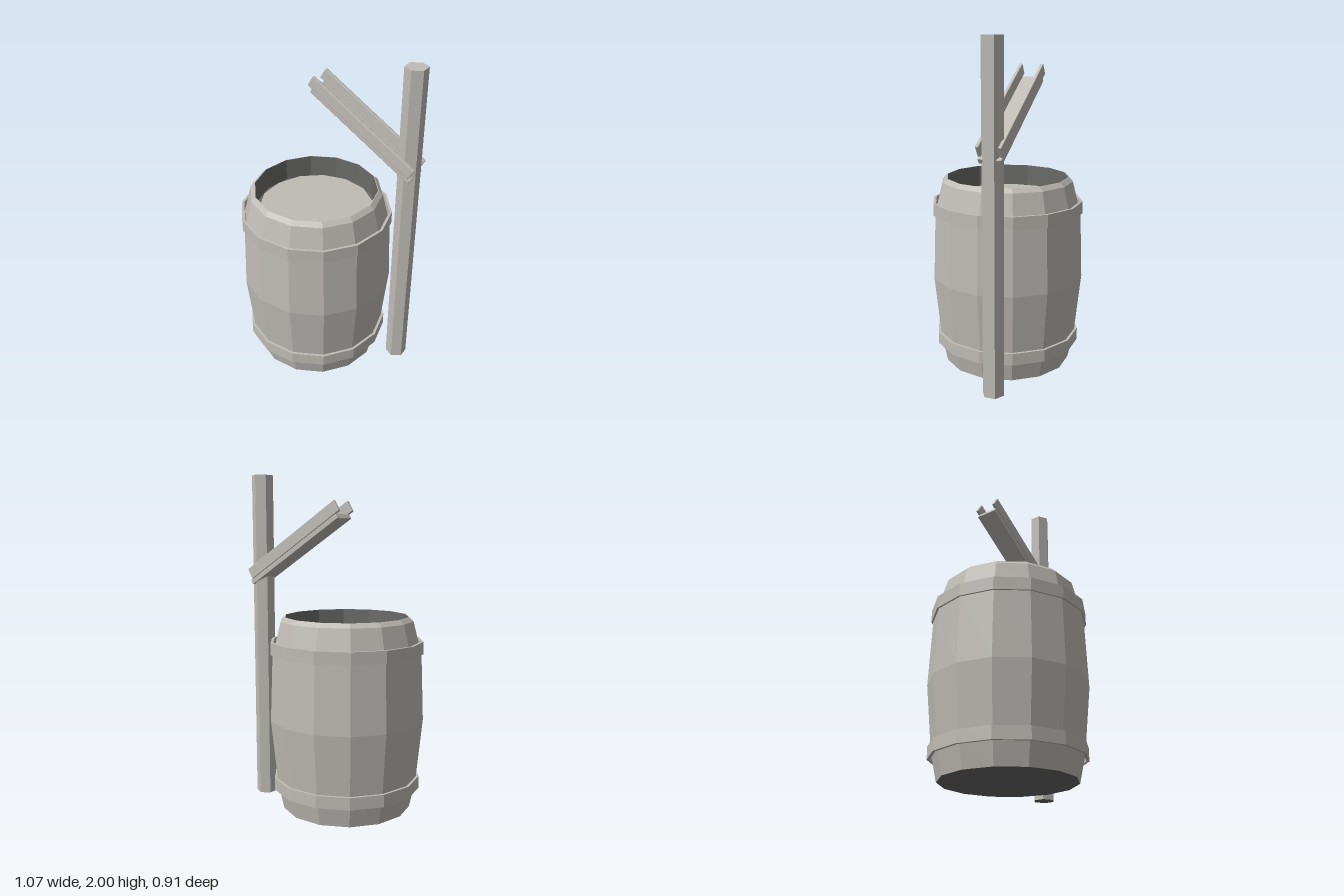
import * as THREE from 'three';
import { RoundedBoxGeometry } from 'three/addons/geometries/RoundedBoxGeometry.js';

const SIDES = 14;

export function createModel() {
  const model = new THREE.Group();
  model.name = 'rainBarrel';
  const paint = (name, color) => {
    const material = new THREE.MeshStandardMaterial({ color, flatShading: true });
    material.name = name;
    return material;
  };
  const light = paint('light warm grey', 0xbfbcb6);
  const dark = paint('dark grey', 0x686866);

  function add(parent, name, geometry, material, x = 0, y = 0, z = 0) {
    const mesh = new THREE.Mesh(geometry, material);
    mesh.name = name;
    mesh.position.set(x, y, z);
    parent.add(mesh);
  }
  // Faceted ring with corners on the x axis
  const lathe = (pts) => new THREE.LatheGeometry(
    pts.map(([r, y]) => new THREE.Vector2(r, y)), SIDES, Math.PI / 2);

  const barrel = new THREE.Group();
  barrel.name = 'barrel';
  barrel.position.x = -0.07;
  model.add(barrel);

  // Bulging body with a chamfered rim
  add(barrel, 'barrelBody', lathe([
    [0.39, 0], [0.425, 0.16], [0.465, 0.55], [0.45, 0.95],
    [0.435, 1.0], [0.4, 1.14], [0.375, 1.165], [0.371, 1.165],
  ]), light);

  // Dark underside and interior
  add(barrel, 'barrelUnderside', lathe([[0, 0], [0.39, 0]]), dark);
  add(barrel, 'barrelInterior', lathe([[0.371, 1.165], [0.364, 1.03], [0, 1.03]]), dark);

  // Water surface
  add(barrel, 'water', new THREE.CircleGeometry(0.345, SIDES)
    .rotateX(-Math.PI / 2).rotateY(Math.PI / 2), light, 0, 1.04, 0);

  // Hoops: bottom, top, outer radius
  for (const [name, y0, y1, r] of [
    ['lowerHoop', 0.122, 0.195, 0.446],
    ['upperHoop', 0.945, 1.02, 0.461],
  ]) {
    const i = r - 0.016;
    add(barrel, name, lathe([[i, y0], [r, y0], [r, y1], [i, y1], [i, y0]]), light);
  }

  // Hexagonal post with a dark foot
  add(model, 'post', new THREE.CylinderGeometry(0.065, 0.065, 2, 6),
    [light, light, dark], 0.47, 1, -0.13);

  // Sloping gutter: two side rails over a floor board
  const gutter = new THREE.Group();
  gutter.name = 'gutter';
  gutter.position.set(0.187, 1.604, -0.13);
  gutter.rotation.z = -0.548;
  model.add(gutter);
  for (const side of [-1, 1]) {
    add(gutter, side > 0 ? 'frontRail' : 'backRail',
      new RoundedBoxGeometry(0.772, 0.07, 0.02, 1, 0.004), light, 0, 0, side * 0.065);
  }
  add(gutter, 'gutterFloor',
    new RoundedBoxGeometry(0.76, 0.032, 0.138, 1, 0.004), light, 0.026, -0.048, 0);

  return model;
}
